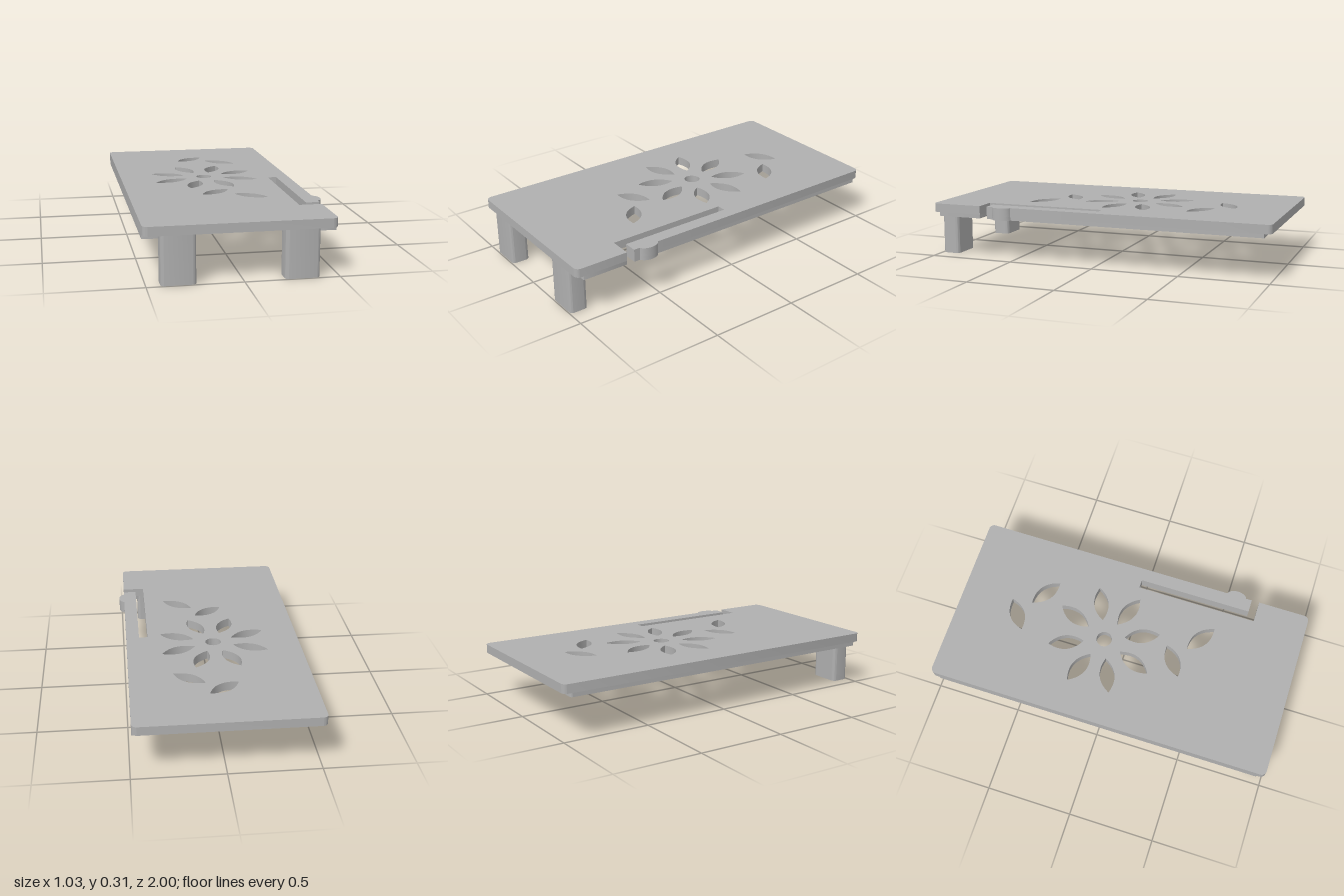
import * as THREE from 'three';
import { toCreasedNormals } from 'three/addons/utils/BufferGeometryUtils.js';

const grey = new THREE.MeshStandardMaterial({ color: 0xb0b0b0 });
grey.name = 'grey plastic';

// Extrude a plan outline (x, -z) upward from y0 to y1
function slab(name, shape, y0, y1) {
  const geo = new THREE.ExtrudeGeometry(shape, { depth: y1 - y0, bevelEnabled: false, curveSegments: 14 });
  geo.rotateX(-Math.PI / 2);
  geo.translate(0, y0, 0);
  const mesh = new THREE.Mesh(toCreasedNormals(geo, 0.5), grey);
  mesh.name = name;
  return mesh;
}

// Rounded rectangle in plan, given by its z range
function roundedRect(x0, x1, z0, z1, r) {
  const s = new THREE.Shape();
  s.absarc(x1 - r, -z0 - r, r, 0, Math.PI / 2);
  s.absarc(x0 + r, -z0 - r, r, Math.PI / 2, Math.PI);
  s.absarc(x0 + r, -z1 + r, r, Math.PI, Math.PI * 1.5);
  s.absarc(x1 - r, -z1 + r, r, Math.PI * 1.5, Math.PI * 2);
  s.closePath();
  return s;
}

// Pointed leaf hole between two tips
function leaf(x0, z0, x1, z1, w = 0.043) {
  const dx = x1 - x0, dy = z0 - z1, len = Math.hypot(dx, dy);
  const mx = (x0 + x1) / 2, my = -(z0 + z1) / 2;
  const ox = -dy / len * w * 2, oy = dx / len * w * 2;
  const p = new THREE.Path();
  p.moveTo(x0, -z0);
  p.quadraticCurveTo(mx - ox, my - oy, x1, -z1);
  p.quadraticCurveTo(mx + ox, my + oy, x0, -z0);
  return p;
}

// Outer edge of the spring arm, from its free end back, with the catch bump
function armEdge(s) {
  s.lineTo(0.41, -0.65);
  s.lineTo(0.485, -0.65);
  s.lineTo(0.485, -0.615);
  s.bezierCurveTo(0.525, -0.6, 0.525, -0.515, 0.485, -0.5);
}

const L = -0.515, R = 0.485, TOP = 0.31, MID = 0.26, LOW = 0.238;

export function createModel() {
  const group = new THREE.Group();
  group.name = 'standPlate';

  // Plate outline with slot and spring arm
  const r = 0.03;
  const plate = new THREE.Shape();
  plate.absarc(L + r, 1 - r, r, Math.PI / 2, Math.PI);
  plate.absarc(L + r, -1 + r, r, Math.PI, Math.PI * 1.5);
  plate.absarc(R - r, -1 + r, r, Math.PI * 1.5, Math.PI * 2);
  plate.lineTo(R, -0.695);
  plate.lineTo(0.36, -0.695);
  plate.lineTo(0.36, 0.01);
  plate.lineTo(0.41, 0.01);
  armEdge(plate);
  plate.absarc(R - r, 1 - r, r, 0, Math.PI / 2);
  plate.closePath();

  // Flower cut-out: round centre and eight petals
  const cx = -0.017, cz = -0.107;
  const eye = new THREE.Path();
  eye.absarc(cx, -cz, 0.045, 0, Math.PI * 2);
  plate.holes.push(eye);
  for (let i = 0; i < 8; i++) {
    const a = (i + 0.5) * Math.PI / 4, c = Math.cos(a), s = Math.sin(a);
    plate.holes.push(leaf(cx + 0.12 * c, cz + 0.12 * s, cx + 0.328 * c, cz + 0.328 * s));
  }

  // Loose leaves at both ends of the flower
  for (const dz of [0, 0.957]) {
    plate.holes.push(leaf(-0.106, -0.588 + dz, 0.06, -0.702 + dz));
    plate.holes.push(leaf(0.073, -0.587 + dz, 0.241, -0.467 + dz));
  }
  group.add(slab('plate', plate, MID, TOP));

  // Rails under the long edges
  group.add(slab('leftEdgeRail', roundedRect(L, L + 0.095, -0.96, 0.96, 0.012), LOW, MID));
  group.add(slab('frontRail', roundedRect(0.39, R, 0.695, 0.96, 0.003), LOW, MID));
  const armRail = new THREE.Shape();
  armRail.moveTo(0.39, 0.96);
  armRail.lineTo(0.39, 0.01);
  armRail.lineTo(0.41, 0.01);
  armEdge(armRail);
  armRail.lineTo(R, 0.96);
  armRail.closePath();
  group.add(slab('armRail', armRail, LOW, MID));

  // Two front legs
  for (const [name, x0, x1] of [['rightLeg', -0.426, -0.244], ['leftLeg', 0.212, 0.395]]) {
    group.add(slab(name, roundedRect(x0, x1, 0.89, 0.995, 0.022), 0, MID));
  }
  return group;
}
